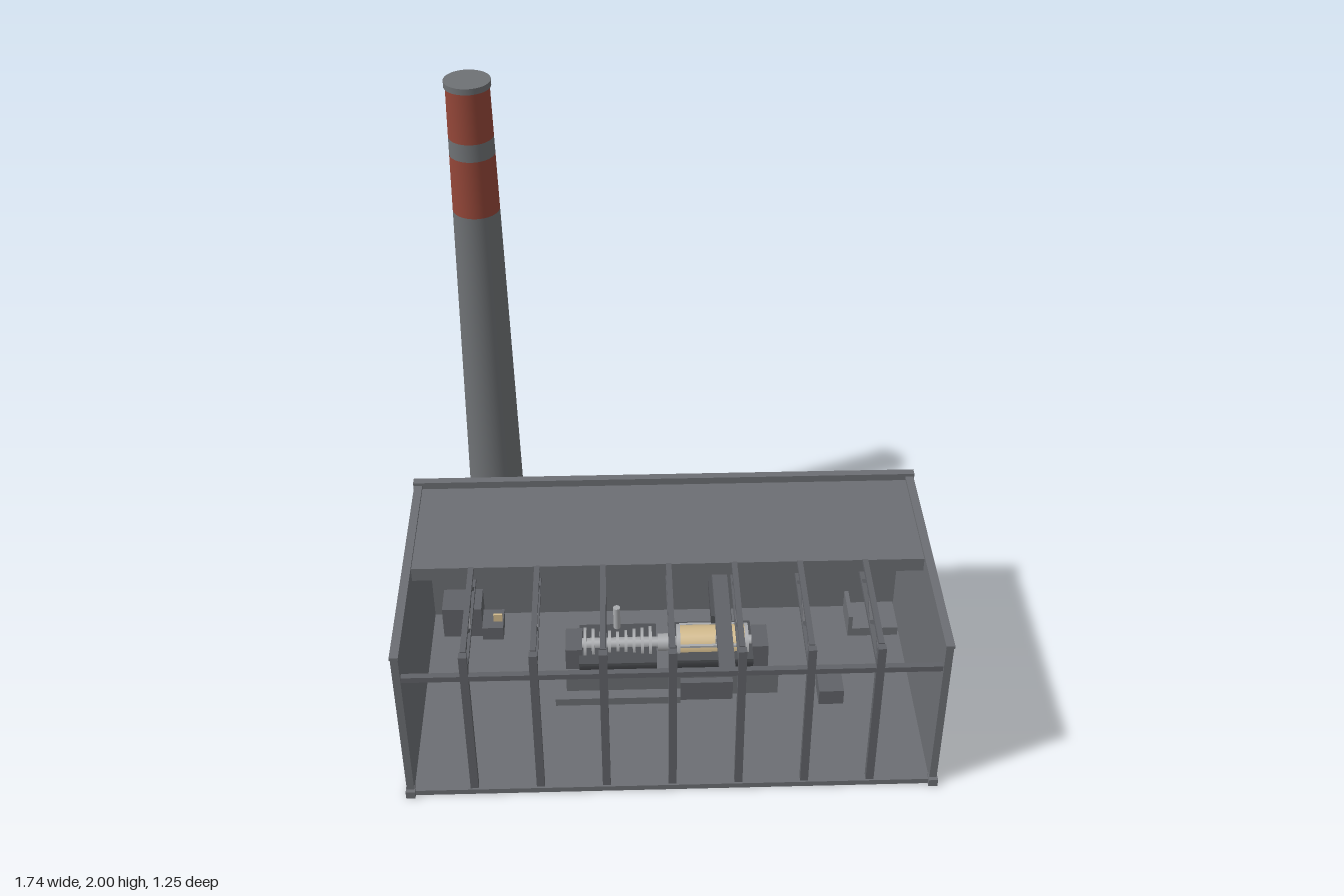
import * as THREE from 'three';

const mat = (name, color, side = THREE.FrontSide) => {
  const m = new THREE.MeshStandardMaterial({ color, side });
  m.name = name;
  return m;
};

export function createModel() {
  const root = new THREE.Group();
  root.name = 'powerStation';
  const grey = mat('wall grey', 0x6c6e73);
  const steel = mat('steel grey', 0x606267);
  const concrete = mat('chimney grey', 0x6e7174);
  const red = mat('band red', 0x934638);
  const cream = mat('window cream', 0xd2ba8c);
  const dark = mat('casing grey', 0x4e5054, THREE.DoubleSide);
  const light = mat('pipe light grey', 0xa9abae);

  const add = (name, geo, m, x = 0, y = 0, z = 0, parent = root) => {
    const mesh = new THREE.Mesh(geo, m);
    mesh.name = name;
    mesh.position.set(x, y, z);
    parent.add(mesh);
    return mesh;
  };
  // Box given by its limits on each axis
  const box = (name, m, x0, x1, y0, y1, z0, z1, parent = root) =>
    add(name, new THREE.BoxGeometry(x1 - x0, y1 - y0, z1 - z0), m,
      (x0 + x1) / 2, (y0 + y1) / 2, (z0 + z1) / 2, parent);
  // Cylinder lying along x
  const rod = (name, m, x0, x1, r, y, z, parent = root, start = 0, len = Math.PI * 2) =>
    add(name, new THREE.CylinderGeometry(r, r, x1 - x0, 24, 1, false, start, len).rotateZ(Math.PI / 2),
      m, (x0 + x1) / 2, y, z, parent);
  // Bar between two heights in the y-z plane
  const brace = (name, x, y0, z0, y1, z1, parent) => {
    const geo = new THREE.BoxGeometry(0.012, 0.012, Math.hypot(y1 - y0, z1 - z0));
    add(name, geo, steel, x, (y0 + y1) / 2, (z0 + z1) / 2, parent)
      .rotation.x = -Math.atan2(y1 - y0, z1 - z0);
  };

  // Chimney: base, tapering shaft with painted bands, cap
  const chimney = new THREE.Group();
  chimney.name = 'chimney';
  chimney.position.set(-0.607, 0, -0.511);
  root.add(chimney);
  const radius = y => 0.103 - 0.0165 * y;
  add('chimneyBase', new THREE.CylinderGeometry(0.118, 0.118, 0.038, 32), concrete, 0, 0.019, 0, chimney);
  [[0.038, 1.55, concrete], [1.55, 1.75, red], [1.75, 1.81, concrete], [1.81, 1.98, red]].forEach(([a, b, m]) =>
    add('chimneyShaft', new THREE.CylinderGeometry(radius(b), radius(a), b - a, 32), m, 0, (a + b) / 2, 0, chimney));
  add('chimneyCap', new THREE.CylinderGeometry(0.075, 0.075, 0.02, 32), concrete, 0, 1.99, 0, chimney);

  // Hall shell
  box('floor', grey, -0.865, 0.865, 0, 0.02, -0.262, 0.612);
  box('backWall', grey, -0.865, 0.865, 0.02, 0.6, -0.262, -0.24);
  box('roof', grey, -0.843, 0.843, 0.55, 0.6, -0.24, 0.182);
  box('backParapet', grey, -0.871, 0.871, 0.6, 0.626, -0.27, -0.243);
  for (const s of [-1, 1]) {
    const side = add('sideWall', new THREE.BoxGeometry(0.024, 0.585, 0.874), grey, s * 0.854, 0.3125, 0.175);
    side.name = s > 0 ? 'leftWall' : 'rightWall';
    add('wallCoping', new THREE.BoxGeometry(0.028, 0.01, 0.86), grey, s * 0.854, 0.61, 0.186);
    add('cornerFoot', new THREE.BoxGeometry(0.03, 0.028, 0.035), grey, s * 0.854, 0.014, 0.608);
  }
  for (let i = -4; i <= 4; i++)
    box('backRib', grey, i * 0.195 - 0.014, i * 0.195 + 0.014, 0, 0.6, -0.27, -0.262);

  // Strip windows on the inside of the back wall
  for (let i = 0; i < 6; i++) {
    const x = -0.714 + i * 0.2845;
    box('window', cream, x - 0.115, x + 0.115, 0.415, 0.486, -0.24, -0.234);
  }

  // Front columns and roof trusses
  box('frontBeam', steel, -0.843, 0.843, 0.5, 0.52, 0.585, 0.605);
  for (let i = -3; i <= 3; i++) {
    const x = i * 0.2155;
    const frame = new THREE.Group();
    frame.name = 'frame';
    root.add(frame);
    box('column', steel, x - 0.013, x + 0.013, 0.02, 0.6, 0.582, 0.606, frame);
    box('topChord', steel, x - 0.009, x + 0.009, 0.588, 0.604, 0.182, 0.582, frame);
    box('bottomChord', steel, x - 0.009, x + 0.009, 0.502, 0.518, -0.24, 0.582, frame);
    for (let k = 0; k < 4; k++) {
      const z = 0.182 + k * 0.1;
      brace('diagonal', x, k % 2 ? 0.595 : 0.51, z, k % 2 ? 0.51 : 0.595, z + 0.1, frame);
    }
  }

  // Steam pipe with hangers along the back wall
  rod('steamPipe', light, -0.515, 0.77, 0.012, 0.305, -0.2);
  for (let i = 0; i < 8; i++) {
    const x = -0.465 + i * 0.171;
    box('pipeHanger', dark, x - 0.004, x + 0.004, 0.28, 0.325, -0.24, -0.184);
  }
  for (const x of [-0.35, -0.1, 0.09, 0.43])
    box('wallLamp', dark, x - 0.02, x + 0.02, 0.363, 0.375, -0.24, -0.2);

  // Machine foundation and bearing blocks
  const Z = 0.125;
  box('foundation', grey, -0.352, 0.378, 0.02, 0.11, 0.02, 0.2);
  box('foundationStep', grey, -0.39, 0.04, 0.02, 0.05, 0.01, 0.24);
  box('coolerBox', steel, 0.04, 0.22, 0.02, 0.1, 0.2, 0.225);
  box('bearingBlock', steel, -0.352, -0.295, 0.11, 0.222, 0.07, 0.18);
  box('bearingBlock', steel, 0.287, 0.342, 0.11, 0.222, 0.07, 0.18);
  box('bearingStep', grey, -0.352, -0.2, 0.11, 0.135, 0.05, 0.2);

  // Turbine with open casing and bladed rotor
  const turbine = new THREE.Group();
  turbine.name = 'turbine';
  root.add(turbine);
  rod('turbineCasing', dark, -0.305, -0.04, 0.094, 0.195, Z, turbine, Math.PI, Math.PI);
  box('turbineFlange', dark, -0.305, -0.04, 0.188, 0.198, Z - 0.098, Z + 0.098, turbine);
  rod('rotorShaft', light, -0.33, 0.3, 0.02, 0.2, Z, turbine);
  for (let i = 0; i < 9; i++) {
    const x = -0.285 + i * 0.028;
    rod('rotorDisc', light, x - 0.005, x + 0.005, 0.04 + 0.004 * Math.abs(i - 4) , 0.2, Z, turbine);
  }
  add('steamInlet', new THREE.CylinderGeometry(0.012, 0.012, 0.09, 16), light, -0.175, 0.26, 0.06, turbine);
  rod('coupling', light, -0.035, 0.01, 0.03, 0.2, Z, turbine);

  // Generator with exposed windings
  const generator = new THREE.Group();
  generator.name = 'generator';
  root.add(generator);
  rod('generatorCasing', dark, 0.013, 0.288, 0.094, 0.2, Z, generator, Math.PI, Math.PI);
  box('generatorFlange', dark, 0.013, 0.288, 0.193, 0.203, Z - 0.097, Z + 0.097, generator);
  rod('winding', cream, 0.035, 0.268, 0.057, 0.2, Z, generator);
  for (const x of [0.035, 0.268]) rod('windingRing', light, x - 0.006, x + 0.006, 0.061, 0.2, Z, generator);
  for (const z of [Z - 0.054, Z + 0.054])
    box('windingRail', light, 0.04, 0.262, 0.225, 0.233, z - 0.005, z + 0.005, generator);

  // Overhead crane
  const crane = new THREE.Group();
  crane.name = 'crane';
  root.add(crane);
  box('craneGirder', steel, 0.147, 0.197, 0.468, 0.5, -0.2, 0.565, crane);
  box('craneTrolley', dark, 0.135, 0.202, 0.435, 0.468, 0.1, 0.292, crane);
  add('craneCable', new THREE.CylinderGeometry(0.003, 0.003, 0.15, 8), dark, 0.17, 0.36, 0.2, crane);
  box('craneHook', light, 0.158, 0.182, 0.265, 0.288, 0.19, 0.21, crane);

  // Cabinets and crates on the floor
  box('controlCabinet', steel, -0.8, -0.66, 0.02, 0.148, -0.23, -0.12);
  box('controlDesk', steel, -0.66, -0.585, 0.02, 0.075, -0.2, -0.1);
  box('deskScreen', cream, -0.62, -0.588, 0.078, 0.108, -0.14, -0.132);
  box('crate', steel, 0.515, 0.6, 0.02, 0.08, 0.16, 0.26);
  box('storageBox', grey, 0.655, 0.835, 0.02, 0.055, -0.22, -0.08);
  box('storageLocker', grey, 0.655, 0.67, 0.055, 0.11, -0.22, -0.08);

  return root;
}
